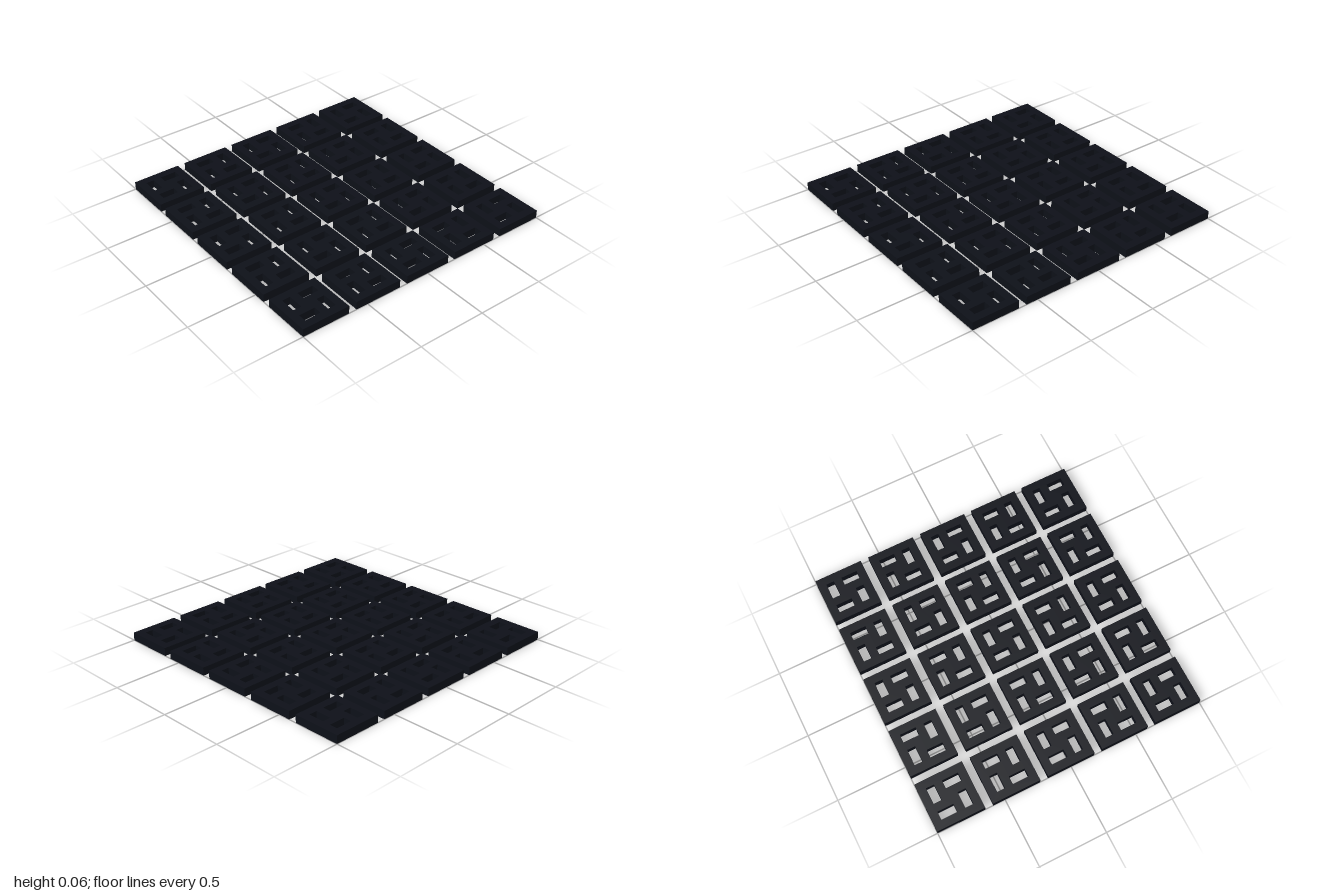
import * as THREE from 'three';

const U = 1 / 17;        // module: a tile is 6 U wide, gaps and thickness are 1 U
const COUNT = 5;

// Rectangle outline in tile units, measured from the tile corner
function rect(target, x, y, w, h) {
  const a = (x - 3) * U, b = (y - 3) * U;
  target.moveTo(a, b);
  target.lineTo(a + w * U, b);
  target.lineTo(a + w * U, b + h * U);
  target.lineTo(a, b + h * U);
  target.closePath();
  return target;
}

// Square tile pierced by four slots in a pinwheel; mirrored swaps its direction
function tileGeometry(mirrored) {
  const shape = rect(new THREE.Shape(), 0, 0, 6, 6);
  const slots = [[1, 3, 1, 2], [3, 4, 2, 1], [4, 1, 1, 2], [1, 1, 2, 1]];
  for (const [x, y, w, h] of slots) {
    shape.holes.push(rect(new THREE.Path(), mirrored ? 6 - x - w : x, y, w, h));
  }
  const geometry = new THREE.ExtrudeGeometry(shape, { depth: U, bevelEnabled: false });
  return geometry.rotateX(-Math.PI / 2);
}

export function createModel() {
  const group = new THREE.Group();
  group.name = 'tilePanel';
  const material = new THREE.MeshStandardMaterial({ color: 0x0d1018 });
  const geometries = [tileGeometry(false), tileGeometry(true)];

  // Checkerboard of the two pinwheel directions
  for (let row = 0; row < COUNT; row++) {
    for (let col = 0; col < COUNT; col++) {
      const kind = (row + col) % 2;
      const tile = new THREE.Mesh(geometries[kind], material);
      tile.name = kind ? 'mirroredPinwheelTile' : 'pinwheelTile';
      tile.position.set((col - 2) * 7 * U, 0, (row - 2) * 7 * U);
      group.add(tile);
    }
  }
  return group;
}
